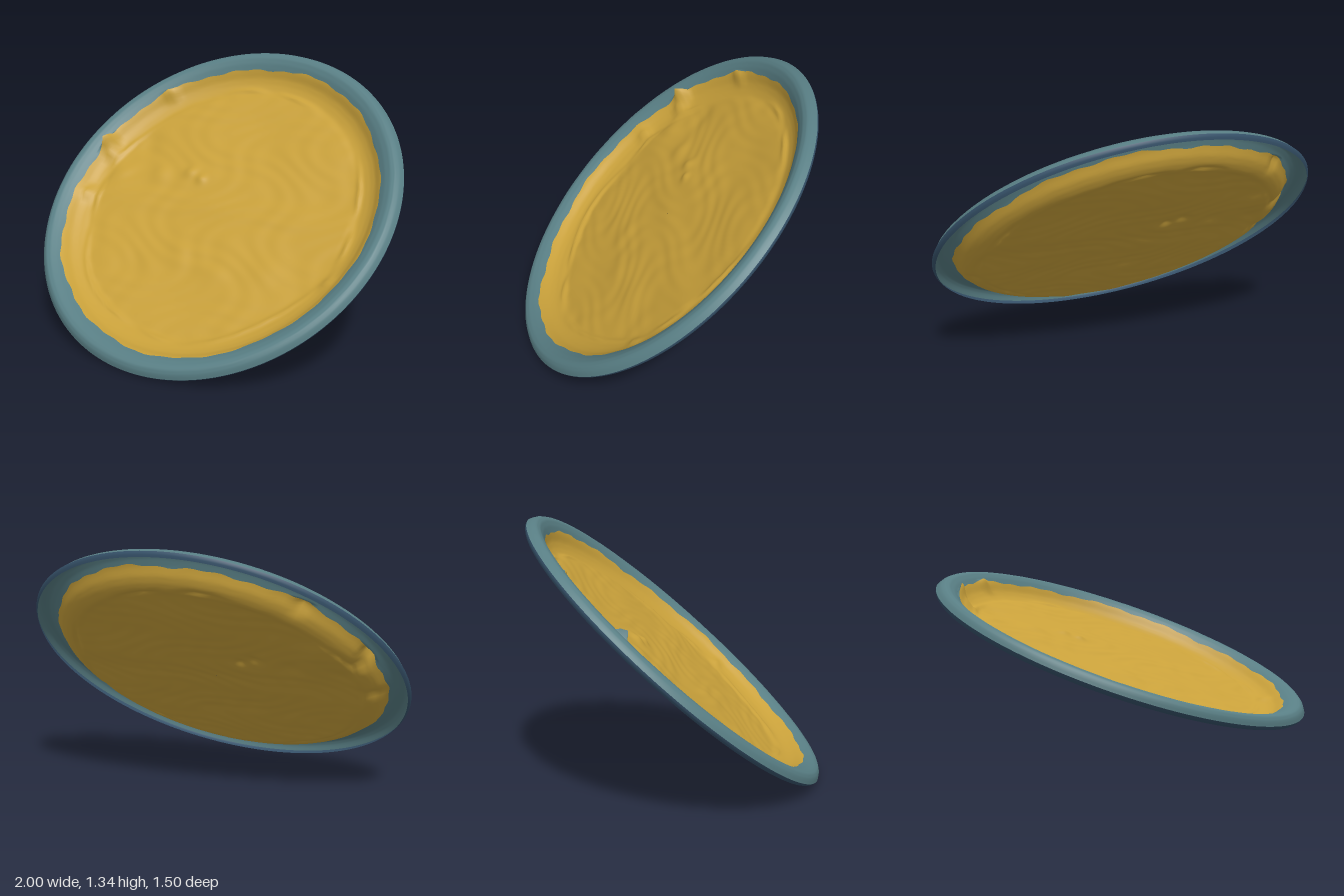
import * as THREE from 'three';

const SEGMENTS = 180;
const TILT = 0.727;

// Height of the dish wall and rolled rim, as radius / height pairs
const PROFILE = [
  [0.74, -0.07], [0.77, -0.068], [0.82, -0.05], [0.85, -0.032], [0.88, 0], [0.91, 0.022],
  [0.94, 0.036], [0.965, 0.036], [0.985, 0.022], [1, 0],
];

// Local bumps: x, z, radius, height
const BUMPS = [
  [-0.84, -0.25, 0.035, 0.06], [-0.80, -0.20, 0.04, 0.03], [-0.82, 0.08, 0.04, 0.025],
  [-0.60, -0.63, 0.03, 0.03], [-0.26, -0.18, 0.04, 0.018], [-0.18, -0.15, 0.03, 0.014],
  [-0.45, -0.14, 0.06, 0.012], [-0.62, -0.30, 0.08, -0.012], [-0.70, -0.10, 0.07, 0.012],
  [-0.10, 0.30, 0.08, 0.008], [0.15, 0.38, 0.07, 0.009], [0.42, 0.30, 0.09, 0.008],
  [-0.35, 0.42, 0.08, -0.008], [0.60, -0.10, 0.16, -0.008], [0.10, -0.45, 0.2, -0.006],
  [0.76, 0.28, 0.03, 0.015],
];

function profileHeight(r) {
  for (let i = 1; i < PROFILE.length; i++) {
    const [r0, h0] = PROFILE[i - 1], [r1, h1] = PROFILE[i];
    if (r <= r1) return THREE.MathUtils.lerp(h0, h1, Math.max(0, (r - r0) / (r1 - r0)));
  }
  return 0;
}

// Uneven boundary between the filling and the rim
const edge = (a) => 0.885 + 0.005 * Math.sin(5 * a + 1) + 0.004 * Math.sin(13 * a)
  + 0.003 * Math.sin(37 * a + 2);

// Wrinkled floor, deepest toward the front
function floorHeight(x, z) {
  let h = -0.066 - 0.012 * z;
  h += 0.004 * Math.sin(7 * x + 3 * z) * Math.sin(9 * z - 2 * x);
  h += 0.0025 * Math.sin(23 * x + 5 * Math.sin(11 * z)) * Math.sin(27 * z + 3 * Math.sin(9 * x));
  // shallow crease running across the middle
  h += 0.009 * Math.exp(-(((z + 0.03 * x) / 0.07) ** 2)) * (0.4 + 0.6 * Math.abs(x));
  return h;
}

function fillingHeight(x, z, a) {
  const r = Math.hypot(x, z);
  const t = THREE.MathUtils.smoothstep(r, 0.73, 0.8);
  let h = THREE.MathUtils.lerp(floorHeight(x, z), profileHeight(r), t);
  // broken ridge where the floor meets the wall
  const ridge = 0.006 + 0.006 * Math.sin(9 * a + 2 * Math.sin(4 * a));
  h += ridge * Math.exp(-(((r - 0.77 - 0.01 * Math.sin(6 * a)) / 0.014) ** 2));
  for (const [bx, bz, br, bh] of BUMPS) {
    h += bh * Math.exp(-((x - bx) ** 2 + (z - bz) ** 2) / (br * br));
  }
  return h;
}

// Closed ring surface: point(u, angle) gives [radius, height]
function ringSurface(rings, point) {
  const positions = [], indices = [];
  for (let i = 0; i <= rings; i++) {
    for (let j = 0; j < SEGMENTS; j++) {
      const a = (j / SEGMENTS) * Math.PI * 2;
      const [r, h] = point(i / rings, a);
      positions.push(r * Math.cos(a), h, r * Math.sin(a));
      if (i === rings) continue;
      const p = i * SEGMENTS + j, q = i * SEGMENTS + ((j + 1) % SEGMENTS);
      indices.push(p, q, p + SEGMENTS, q, q + SEGMENTS, p + SEGMENTS);
    }
  }
  const geometry = new THREE.BufferGeometry();
  geometry.setAttribute('position', new THREE.Float32BufferAttribute(positions, 3));
  geometry.setIndex(indices);
  geometry.computeVertexNormals();
  return geometry;
}

function material(name, color) {
  const m = new THREE.MeshStandardMaterial({ color, side: THREE.DoubleSide });
  m.name = name;
  return m;
}

export function createModel() {
  const group = new THREE.Group();
  group.name = 'tiltedDish';
  const ochre = material('ochre', 0xc8a03a);
  const teal = material('teal', 0x587e84);
  const navy = material('navy', 0x36526a);

  const add = (name, geometry, mat) => {
    const mesh = new THREE.Mesh(geometry, mat);
    mesh.name = name;
    dish.add(mesh);
  };
  const dish = new THREE.Group();
  dish.name = 'dish';
  dish.rotation.x = TILT;
  dish.position.y = 0.67;
  group.add(dish);

  // Wrinkled centre and its sloping wall
  add('dishCentre', ringSurface(90, (u, a) => {
    const r = Math.max(0.001, u * edge(a));
    return [r, fillingHeight(r * Math.cos(a), r * Math.sin(a), a)];
  }), ochre);

  // Rolled rim
  add('rim', ringSurface(16, (u, a) => {
    const r = THREE.MathUtils.lerp(edge(a), 1, u);
    const h = u === 0 ? fillingHeight(r * Math.cos(a), r * Math.sin(a), a) : profileHeight(r);
    return [r, h];
  }), teal);

  // Turned-down outer lip
  add('outerLip', ringSurface(3, (u) => [1 - 0.014 * u * u, -0.024 * u]), navy);

  return group;
}
